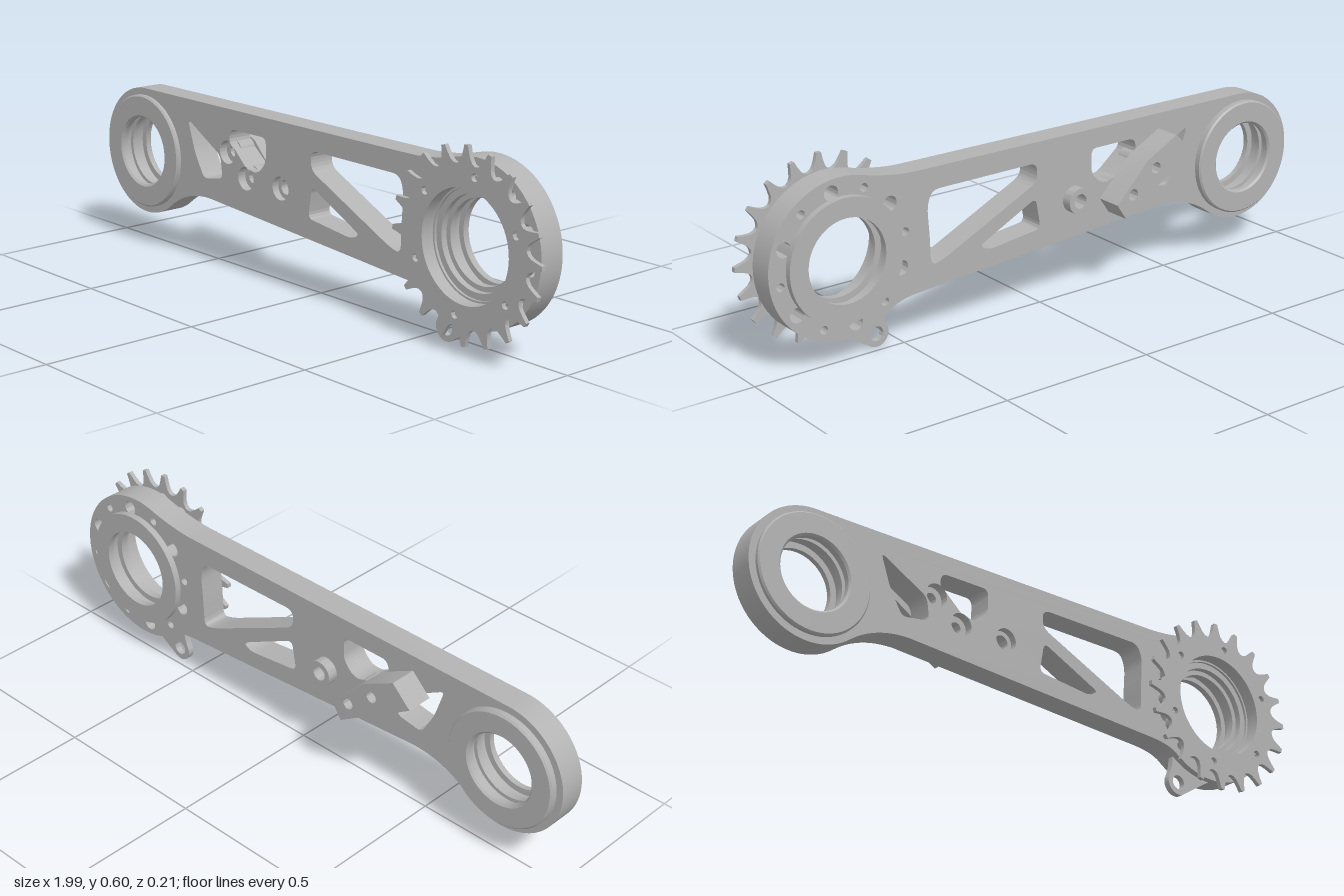
import * as THREE from 'three';
import { toCreasedNormals } from 'three/addons/utils/BufferGeometryUtils.js';

const metal = new THREE.MeshStandardMaterial({ color: 0xb2b2b2 });
metal.name = 'plain grey metal';

const REAR = [-0.793, 0.317];   // plain bearing end
const DRIVE = [0.708, 0.317];   // sprocket end
const BACK = -0.02, FRONT = 0.063;
const rad = THREE.MathUtils.degToRad;

const polar = ([cx, cy], r, a) => [cx + r * Math.cos(a), cy + r * Math.sin(a)];
const circle = ([x, y], r) => new THREE.Path().absarc(x, y, r, 0, Math.PI * 2, true);
const polygon = (pts) => new THREE.Shape(pts.map(p => new THREE.Vector2(...p)));

// Closed polygon with rounded corners
function roundedPath(pts, radius) {
  const path = new THREE.Path();
  const v = pts.map(p => new THREE.Vector2(...p));
  v.forEach((p, i) => {
    const toward = (q) => {
      const d = q.clone().sub(p);
      return p.clone().addScaledVector(d.clone().normalize(), Math.min(radius, d.length() * 0.45));
    };
    const a = toward(v[(i + v.length - 1) % v.length]);
    const b = toward(v[(i + 1) % v.length]);
    if (i === 0) path.moveTo(a.x, a.y); else path.lineTo(a.x, a.y);
    path.quadraticCurveTo(p.x, p.y, b.x, b.y);
  });
  path.closePath();
  return path;
}

function addMesh(group, name, geometry) {
  const mesh = new THREE.Mesh(toCreasedNormals(geometry, rad(32)), metal);
  mesh.name = name;
  group.add(mesh);
  return mesh;
}

// Flat plate between two depths
function plate(group, name, shape, z0, z1, holes = []) {
  shape.holes.push(...holes);
  const g = new THREE.ExtrudeGeometry(shape, { depth: z1 - z0, bevelEnabled: false, curveSegments: 32 });
  return addMesh(group, name, g.translate(0, 0, z0));
}

// Turned ring around the z axis; profile is [radius, z], anticlockwise
function ring(group, name, center, profile, segments = 72) {
  const pts = [...profile, profile[0]].map(p => new THREE.Vector2(...p));
  const g = new THREE.LatheGeometry(pts, segments).rotateX(Math.PI / 2);
  return addMesh(group, name, g.translate(center[0], center[1], 0));
}

export function createModel() {
  const model = new THREE.Group();
  model.name = 'sprocketArm';

  const blockHoles = [[-0.37, 0.385], [-0.28, 0.317]];
  const bossHole = [-0.115, 0.317];
  const boltAngle = (k) => rad(80.5 + 60 * k);

  // Arm outline: two round ends blended into a tapering beam
  const arm = new THREE.Shape();
  arm.moveTo(0.45, 0.525);
  arm.lineTo(REAR[0], 0.524);
  arm.absarc(...REAR, 0.207, rad(90), rad(308), false);
  arm.quadraticCurveTo(-0.578, 0.222, -0.46, 0.219);
  arm.lineTo(0.44, 0.155);
  arm.quadraticCurveTo(0.526, 0.15, ...polar(DRIVE, 0.244, rad(232)));
  arm.absarc(...DRIVE, 0.244, rad(232), rad(465), false);
  arm.quadraticCurveTo(0.541, 0.525, 0.45, 0.525);

  // Lightening windows
  const windows = [
    roundedPath([[-0.568, 0.46], [-0.405, 0.368], [-0.395, 0.295], [-0.49, 0.28], [-0.535, 0.36]], 0.02),
    roundedPath([[-0.352, 0.462], [-0.183, 0.462], [-0.183, 0.385], [-0.22, 0.345], [-0.27, 0.345], [-0.362, 0.42]], 0.022),
    roundedPath([[0.025, 0.46], [0.405, 0.457], [0.423, 0.41], [0.416, 0.32], [0.413, 0.225], [0.365, 0.238], [0.025, 0.4]], 0.03),
    roundedPath([[0.03, 0.35], [0.24, 0.245], [0.205, 0.227], [0.012, 0.25]], 0.022),
  ];
  const bolts = [];
  for (let k = 0; k < 6; k++) {
    bolts.push(circle(polar(DRIVE, 0.205, boltAngle(k)), 0.023));
    bolts.push(circle(polar(DRIVE, 0.21, boltAngle(k + 0.5)), 0.013));
  }
  plate(model, 'arm', arm, BACK, FRONT, [
    ...windows, ...bolts,
    circle(REAR, 0.16), circle(DRIVE, 0.16),
    ...[...blockHoles, bossHole].map(c => circle(c, 0.037)),
  ]);

  // Bearing housings with an internal groove
  ring(model, 'rearBearing', REAR, [
    [0.18, -0.043], [0.185, -0.038], [0.185, 0.073], [0.18, 0.078], [0.118, 0.078], [0.112, 0.072],
    [0.112, 0.055], [0.132, 0.055], [0.132, 0.028], [0.12, 0.028], [0.12, 0.008],
    [0.132, 0.008], [0.132, -0.02], [0.112, -0.02], [0.112, -0.037], [0.118, -0.043],
  ]);
  ring(model, 'driveBearing', DRIVE, [
    [0.188, -0.041], [0.188, 0.05], [0.165, 0.05], [0.165, 0.055], [0.14, 0.055],
    [0.14, 0.035], [0.125, 0.035], [0.125, 0.012], [0.145, 0.012],
    [0.145, -0.02], [0.128, -0.02], [0.128, -0.041],
  ]);

  // Scalloped carrier behind the sprocket
  const lobes = [];
  for (let i = 0; i < 240; i++) {
    const a = i / 240 * Math.PI * 2;
    lobes.push(polar(DRIVE, 0.21 + 0.012 * Math.cos(15 * (a - Math.PI / 2)), a));
  }
  plate(model, 'sprocketCarrier', polygon(lobes), FRONT, 0.092, [circle(DRIVE, 0.166)]);

  // Toothed sprocket
  const tooth = [[-9, 0.232], [-6.3, 0.236], [-4.2, 0.246], [-2.6, 0.264], [-1.4, 0.285],
    [1.4, 0.285], [2.6, 0.264], [4.2, 0.246], [6.3, 0.236]];
  const teeth = [];
  for (let k = 0; k < 20; k++) {
    for (const [a, r] of tooth) teeth.push(polar(DRIVE, r, rad(90 + 18 * k + a)));
  }
  const sprocketHoles = [circle(DRIVE, 0.166)];
  for (let k = 0; k < 6; k++) sprocketHoles.push(circle(polar(DRIVE, 0.203, boltAngle(k)), 0.012));
  plate(model, 'sprocket', polygon(teeth), 0.092, 0.106, sprocketHoles);

  // Lower eyelet tab
  const eye = [0.58, 0.042];
  const tab = new THREE.Shape();
  tab.moveTo(0.56, 0.14);
  tab.quadraticCurveTo(0.56, 0.09, ...polar(eye, 0.041, rad(165)));
  tab.absarc(...eye, 0.041, rad(165), rad(295), false);
  tab.lineTo(0.71, 0.075);
  tab.lineTo(0.7, 0.1);
  tab.lineTo(0.62, 0.14);
  plate(model, 'eyeletTab', tab, 0.022, 0.042, [circle(eye, 0.023)]);

  // Angled mounting block on the back
  const block = polygon([[-0.515, 0.412], [-0.252, 0.245], [-0.218, 0.295], [-0.335, 0.415], [-0.45, 0.475]]);
  plate(model, 'mountingBlock', block, -0.105, BACK, blockHoles.map(c => circle(c, 0.018)));

  // Counterbored sleeves and the round rear boss
  const sleeve = (name, c, inner, outer, z0, z1) =>
    ring(model, name, c, [[outer, z0], [outer, z1], [inner, z1], [inner, z0]], 36);
  blockHoles.forEach(c => sleeve('blockSleeve', c, 0.018, 0.037, BACK, 0.035));
  sleeve('bossSleeve', bossHole, 0.023, 0.037, BACK, 0.04);
  sleeve('rearBoss', bossHole, 0.023, 0.041, -0.053, BACK);

  return model;
}
